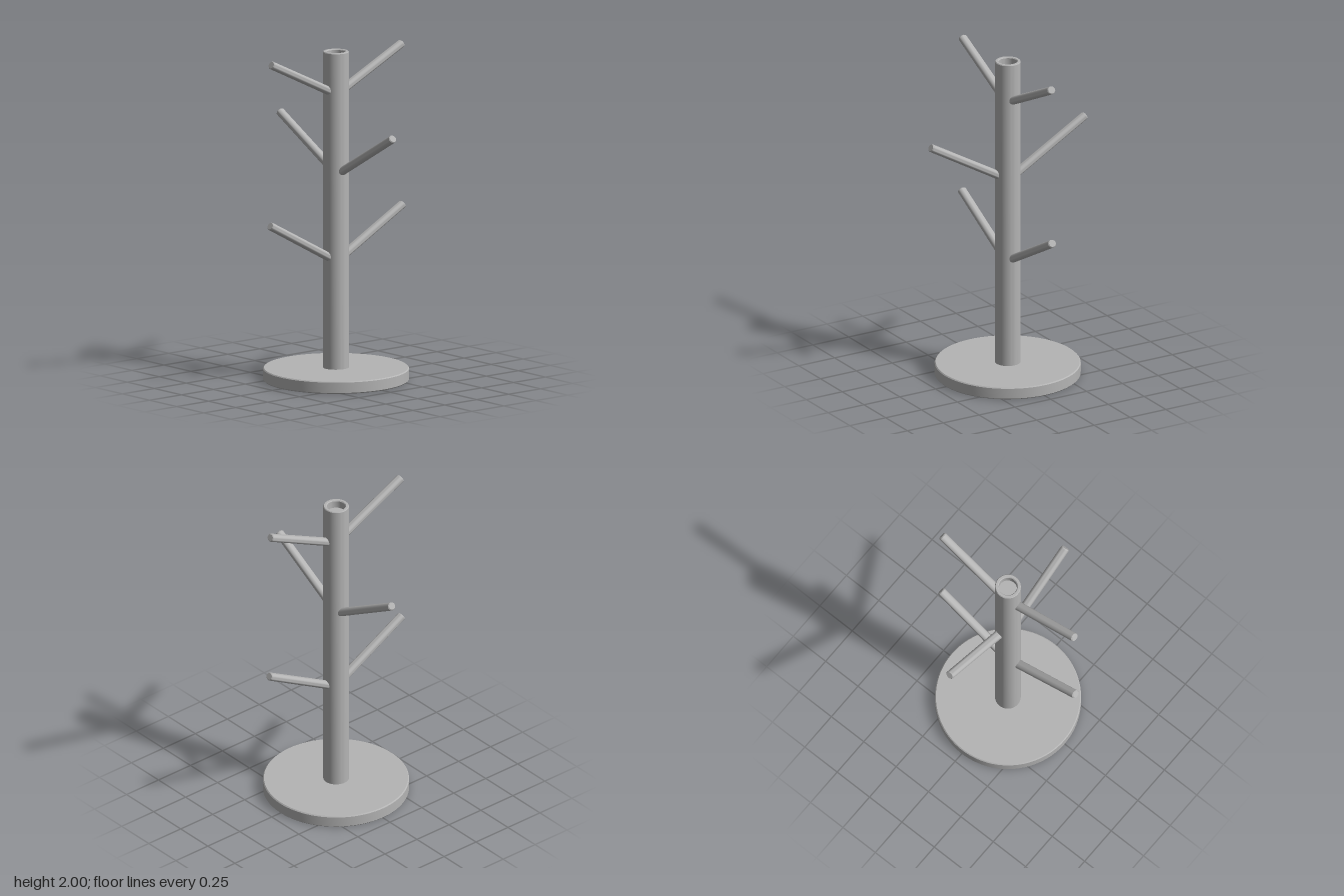
import * as THREE from 'three';
import { toCreasedNormals } from 'three/addons/utils/BufferGeometryUtils.js';

const V2 = (x, y) => new THREE.Vector2(x, y);

// Solid of revolution with crisp rims and smooth sides
function turned(points, segments) {
  return toCreasedNormals(new THREE.LatheGeometry(points.map(([r, y]) => V2(r, y)), segments), 0.6);
}

export function createModel() {
  const group = new THREE.Group();
  const grey = new THREE.MeshStandardMaterial({ color: 0xb4b4b4 });
  grey.name = 'plain grey';

  function add(name, geometry, x, y, z) {
    const mesh = new THREE.Mesh(geometry, grey);
    mesh.name = name;
    mesh.position.set(x, y, z);
    group.add(mesh);
    return mesh;
  }

  // Round base with slightly softened rims
  add('base', turned([[0, 0], [0.43, 0], [0.436, 0.006], [0.436, 0.069], [0.43, 0.075], [0, 0.075]], 96), -0.003, 0, 0);

  // Upright post with a shallow recess in its top
  add('post', turned([
    [0, 0.07], [0.077, 0.07], [0.077, 1.995], [0.073, 2],
    [0.06, 2], [0.055, 1.995], [0.055, 1.95], [0, 1.95],
  ], 48), -0.004, 0, 0);

  // Pegs: direction on plan, start and end as [distance out, height], sideways shift
  const pegs = [
    ['upperFrontPeg', 0, 1, [0.04, 1.756], [0.512, 1.982], 0.003],
    ['upperBackPeg', 0, -1, [0.04, 1.756], [0.512, 1.982], 0],
    ['middleLeftPeg', 1, 0, [0.04, 1.267], [0.53, 1.548], 0.006],
    ['middleRightPeg', -1, 0, [0.04, 1.267], [0.536, 1.55], -0.013],
    ['lowerFrontPeg', 0, 1, [0.04, 0.743], [0.52, 1.003], 0.003],
    ['lowerBackPeg', 0, -1, [0.04, 0.743], [0.52, 1.003], 0],
  ];
  for (const [name, dx, dz, start, end, shift] of pegs) {
    const out = end[0] - start[0], rise = end[1] - start[1];
    const length = Math.hypot(out, rise);
    const geometry = turned([[0, 0], [0.028, 0], [0.027, length - 0.006], [0.022, length], [0, length]], 24);
    geometry.scale(1, 1, 0.9); // a little flatter than wide
    geometry.rotateX(Math.atan2(out, rise)); // lean out toward +z
    geometry.rotateY(Math.atan2(dx, dz));
    add(name, geometry, dx * start[0] + (dx ? 0 : shift), start[1], dz * start[0] + (dx ? shift : 0));
  }

  return group;
}
